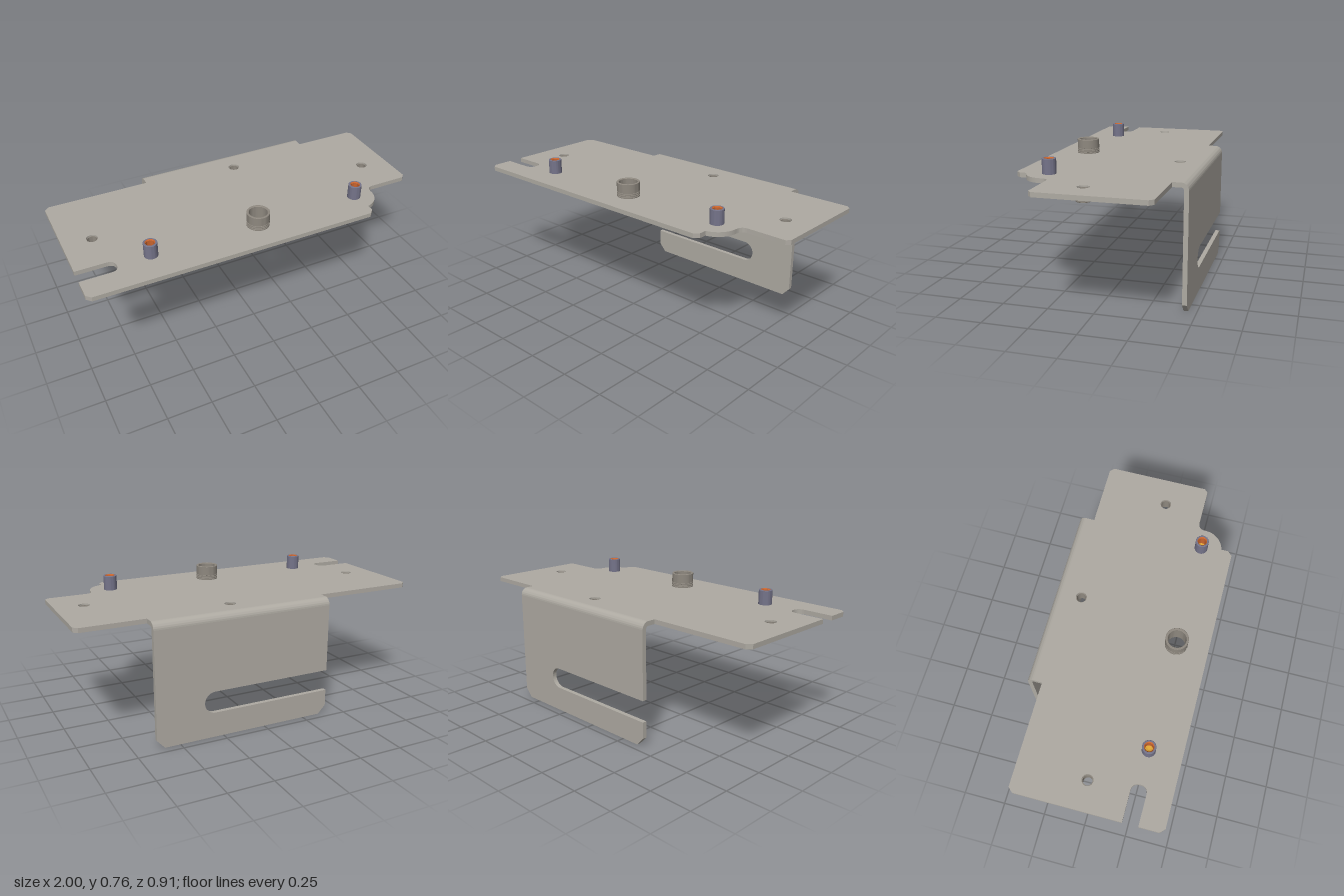
import * as THREE from 'three';
import { toCreasedNormals } from 'three/addons/utils/BufferGeometryUtils.js';

const TOP = 0.682, BOTTOM = 0.657;      // faces of the sheet
const BACK = -0.455, T = TOP - BOTTOM;  // rear face and sheet thickness
const R = 0.04;                         // outer bend radius
const TAB = [-0.4, 0.63];               // x range of the folded flange

const steel = new THREE.MeshStandardMaterial({ color: 0xaeaaa2 });
const darkSteel = new THREE.MeshStandardMaterial({ color: 0x8e887f });
const blueSteel = new THREE.MeshStandardMaterial({ color: 0x75748a });
const brass = new THREE.MeshStandardMaterial({ color: 0xd9a032 });
const orange = new THREE.MeshStandardMaterial({ color: 0xc8642d });

function part(name, geometry, material) {
  const mesh = new THREE.Mesh(toCreasedNormals(geometry, 0.6), material);
  mesh.name = name;
  return mesh;
}

const extrude = (shape, depth) =>
  new THREE.ExtrudeGeometry(shape, { depth, bevelEnabled: false, curveSegments: 20 });

const lathe = (points, segments = 40) =>
  new THREE.LatheGeometry(points.map(([r, y]) => new THREE.Vector2(r, y)), segments);

function lines(shape, points) {
  points.forEach(([x, y]) => shape.lineTo(x, y));
}

const standoffs = [[-0.84, 0.01], [0.84, 0.01], [0.135, -0.305]];
const pins = [[-0.61, 0.275], [0.61, 0.275]];
const centre = [0, 0.275];

// Flat plate, outlined in x and z
function plate() {
  const s = new THREE.Shape();
  s.moveTo(-1, -0.345);
  lines(s, [[-0.975, -0.37], [TAB[0], -0.37], [TAB[0], BACK + R], [TAB[1], BACK + R],
    [TAB[1], -0.37], [0.978, -0.37], [1, -0.348], [1, 0.21], [0.98, 0.23], [0.765, 0.23]]);
  s.quadraticCurveTo(0.727, 0.232, 0.727, 0.275);           // fillet into the ear
  s.absarc(0.61, 0.275, 0.117, 0, 1.4, false);              // ear around the pin
  lines(s, [[0.63, 0.43], [0.605, 0.455], [-0.975, 0.455], [-1, 0.43], [-1, 0.32], [-0.833, 0.32]]);
  s.quadraticCurveTo(-0.793, 0.318, -0.793, 0.278);         // rounded slot end
  s.quadraticCurveTo(-0.793, 0.237, -0.833, 0.235);
  s.lineTo(-1, 0.235);
  s.closePath();
  const hole = ([x, z], r) => {
    const h = new THREE.Path();
    h.absarc(x, z, r, 0, Math.PI * 2, true);
    s.holes.push(h);
  };
  standoffs.forEach(p => hole(p, 0.031));
  pins.forEach(p => hole(p, 0.037));
  hole(centre, 0.058);
  return part('plate', extrude(s, T).rotateX(Math.PI / 2).translate(0, TOP, 0), steel);
}

// Quarter-round bend, a section in -z and y swept along x
function bend() {
  const s = new THREE.Shape();
  const cx = -(BACK + R), cy = TOP - R;
  s.absarc(cx, cy, R, 0, Math.PI / 2, false);
  s.absarc(cx, cy, R - T, Math.PI / 2, 0, true);
  s.closePath();
  const g = extrude(s, TAB[1] - TAB[0]).rotateY(Math.PI / 2).translate(TAB[0], 0, 0);
  return part('bend', g, steel);
}

// Hanging flange with a slot open on one side
function flange() {
  const s = new THREE.Shape();
  const [x0, x1] = TAB;
  s.moveTo(x0, 0.047);
  lines(s, [[-0.355, 0], [0.587, 0], [x1, 0.047], [x1, TOP - R], [x0, TOP - R], [x0, 0.26]]);
  s.absarc(0.297, 0.2, 0.06, Math.PI / 2, -Math.PI / 2, true);
  s.lineTo(x0, 0.14);
  s.closePath();
  return part('flange', extrude(s, T).translate(0, 0, BACK), steel);
}

// Hollow standoff pressed into the plate from below
function standoff([x, z]) {
  const g = lathe([[0.026, 0.612], [0.035, 0.612], [0.037, 0.614], [0.037, 0.645], [0.035, 0.648],
    [0.035, 0.653], [0.037, BOTTOM], [0.031, BOTTOM], [0.031, 0.674], [0.026, 0.674], [0.026, 0.612]]);
  const mesh = part('standoff', g, darkSteel);
  mesh.position.set(x, 0, z);
  return mesh;
}

// Grooved bushing standing on the plate
function bushing() {
  const profile = [[0.05, BOTTOM], [0.058, BOTTOM], [0.058, TOP], [0.063, TOP]];
  for (const y of [0.688, 0.698, 0.708]) {
    profile.push([0.063, y], [0.059, y + 0.001], [0.059, y + 0.003], [0.063, y + 0.004]);
  }
  profile.push([0.063, 0.761], [0.061, 0.763], [0.053, 0.763], [0.05, 0.76], [0.05, BOTTOM]);
  const mesh = part('bushing', lathe(profile, 48), darkSteel);
  mesh.position.set(centre[0], 0, centre[1]);
  return mesh;
}

// Pin with a countersunk blind bore
function pin([x, z]) {
  const group = new THREE.Group();
  group.name = 'pin';
  group.add(
    part('pinBody', lathe([[0, BOTTOM], [0.037, BOTTOM], [0.037, 0.761], [0.035, 0.763], [0.027, 0.763]]), blueSteel),
    part('pinBore', lathe([[0.027, 0.763], [0.022, 0.757], [0.022, 0.7]]), orange),
    part('boreTip', lathe([[0.022, 0.7], [0, 0.688]]), brass),
  );
  group.position.set(x, 0, z);
  return group;
}

export function createModel() {
  const model = new THREE.Group();
  model.name = 'mountingBracket';
  model.add(plate(), bend(), flange(), bushing(), ...standoffs.map(standoff), ...pins.map(pin));
  return model;
}
